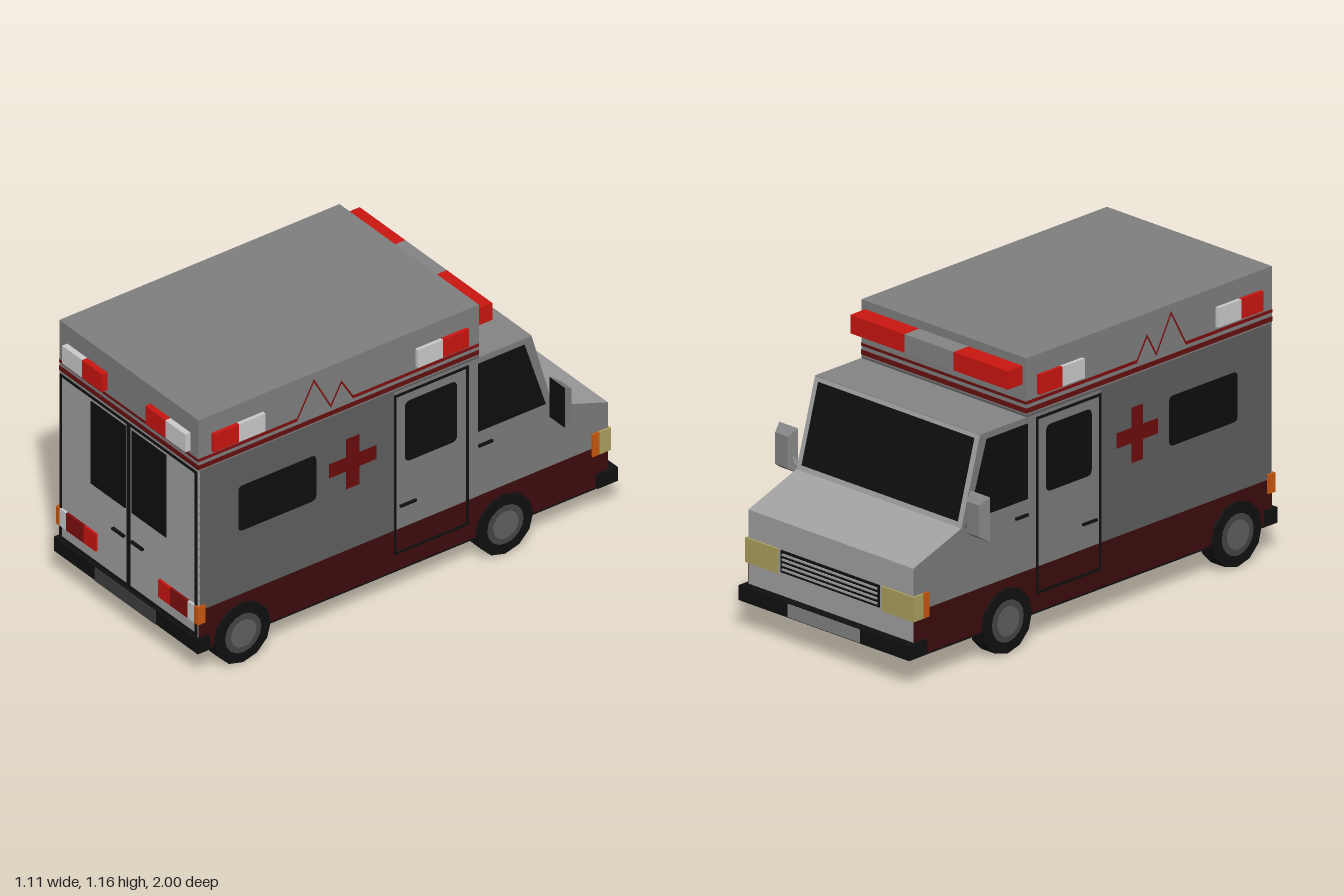
import * as THREE from 'three';

const ROOF = 0x7f7f7f, FLANK = 0x5f5f5f, CABSIDE = 0x7c7c7c, PANEL = 0xa1a1a1, TRIM = 0x848484, STEEL = 0x3f3f3f;
const BLACK = 0x101010, GLASS = 0x0e0e0e, WHITE = 0xcccccc, RED = 0xcb1510, DARKRED = 0x800e0e, STRIPE = 0x66100f;
const SKIRT = 0x3d0c0d, CROSS = 0x6c0c0c, ORANGE = 0xca5810, YELLOW = 0xaca05f;
const W = 0.435; // half width of the body

const mats = {};
const mat = (c) => (mats[c] ??= new THREE.MeshStandardMaterial({ color: c, flatShading: true }));

export function createModel() {
  const root = new THREE.Group();
  root.name = 'van';

  // One color, or two for the ends and walls of an extrusion
  const add = (name, geo, ...colors) => {
    const m = new THREE.Mesh(geo, colors.length > 1 ? colors.map(mat) : mat(colors[0]));
    m.name = name;
    root.add(m);
    return m;
  };
  // Box given by its limits
  const box = (name, color, x0, x1, y0, y1, z0, z1) => {
    const g = new THREE.BoxGeometry(x1 - x0, y1 - y0, z1 - z0);
    return add(name, g.translate((x0 + x1) / 2, (y0 + y1) / 2, (z0 + z1) / 2), color);
  };
  // Box repeated on the other side
  const pair = (name, color, x0, x1, ...r) => {
    box(name, color, x0, x1, ...r);
    box(name, color, -x1, -x0, ...r);
  };
  const extrude = (shape, depth) =>
    new THREE.ExtrudeGeometry(shape, { depth, bevelEnabled: false, curveSegments: 4 });
  // Shape from [z, y] points; its horizontal axis is -z
  const poly = (pts) => new THREE.Shape(pts.map(([z, y]) => new THREE.Vector2(-z, y)));
  // Thin plate on both flanks, standing out by t
  const flank = (name, color, shape, t) => {
    for (const s of [1, -1]) {
      const g = extrude(shape, t + 0.002).rotateY(Math.PI / 2);
      add(name, g.translate(s > 0 ? W - 0.002 : -W - t, 0, 0), color);
    }
  };
  const rect = (a, b, y0, y1, S = THREE.Shape) => {
    const s = new S();
    s.moveTo(a, y0).lineTo(b, y0).lineTo(b, y1).lineTo(a, y1).closePath();
    return s;
  };
  const roundRect = (a, b, y0, y1, r) => {
    const s = new THREE.Shape();
    s.moveTo(a + r, y0).lineTo(b - r, y0).quadraticCurveTo(b, y0, b, y0 + r);
    s.lineTo(b, y1 - r).quadraticCurveTo(b, y1, b - r, y1).lineTo(a + r, y1);
    s.quadraticCurveTo(a, y1, a, y1 - r).lineTo(a, y0 + r).quadraticCurveTo(a, y0, a + r, y0);
    return s;
  };
  const frame = (a, b, y0, y1, w) => {
    const s = rect(a, b, y0, y1);
    s.holes.push(rect(a + w, b - w, y0 + w, y1 - w, THREE.Path));
    return s;
  };

  // Body shells: lower box, roof box, rear door panel, cab
  box('rearBody', FLANK, -W, W, 0.12, 0.93, -0.35, 0.97);
  box('roofBox', ROOF, -W, W, 0.93, 1.16, -0.35, 0.975);
  box('rearDoors', PANEL, -W, W, 0.12, 0.93, 0.968, 0.975);
  const cab = poly([[-0.35, 0.12], [-0.96, 0.12], [-0.96, 0.48], [-0.7, 0.57], [-0.6, 0.92], [-0.35, 0.92]]);
  add('cab', extrude(cab, 2 * W).rotateY(Math.PI / 2).translate(-W, 0, 0), CABSIDE, PANEL);
  box('cabRoof', TRIM, -W, W, 0.915, 0.922, -0.6, -0.35);
  box('underside', BLACK, -W, W, 0.112, 0.121, -0.96, 0.975);
  flank('sideDoor', CABSIDE, rect(-0.05, 0.35, 0.3, 0.92), 0.001);
  flank('skirt', SKIRT, rect(-0.975, 0.96, 0.12, 0.3), 0.001);

  // Stripes all around the rear body, with a zigzag on the flanks
  for (const [y0, y1] of [[0.937, 0.957], [0.973, 0.984]]) {
    box('rearStripe', STRIPE, -W, W, y0, y1, 0.97, 0.977);
    box('frontStripe', STRIPE, -W, W, y0, y1, -0.352, -0.345);
  }
  flank('sideStripe', STRIPE, rect(-0.975, 0.35, 0.937, 0.957), 0.0015);
  const pulse = [[0.975, 0.973], [0.51, 0.973], [0.43, 1.118], [0.35, 0.973], [0.3, 1.062], [0.245, 0.973], [-0.35, 0.973]];
  const upper = pulse.map(([z, y]) => [z, y + 0.013]).reverse();
  flank('zigzagStripe', DARKRED, poly([...pulse, ...upper]), 0.0015);

  // Cross on the flanks
  const a = 0.112, b = 0.031;
  const cross = [[a, -b], [b, -b], [b, -a], [-b, -a], [-b, -b], [-a, -b], [-a, b], [-b, b], [-b, a], [b, a], [b, b], [a, b]];
  flank('cross', CROSS, poly(cross.map(([z, y]) => [z + 0.247, y + 0.688])), 0.002);

  // Side windows, doors and handles
  flank('sideWindow', GLASS, roundRect(-0.787, -0.42, 0.585, 0.787, 0.02), 0.002);
  flank('sideDoorSeam', BLACK, frame(-0.052, 0.3, 0.19, 0.908, 0.011), 0.004);
  flank('sideDoorWindow', GLASS, roundRect(0, 0.245, 0.59, 0.86, 0.025), 0.003);
  flank('cabWindow', GLASS, poly([[-0.345, 0.59], [-0.665, 0.59], [-0.565, 0.895], [-0.345, 0.895]]), 0.003);
  flank('sideDoorHandle', BLACK, rect(-0.025, 0.05, 0.397, 0.407), 0.01);
  flank('cabDoorHandle', BLACK, rect(0.345, 0.412, 0.522, 0.532), 0.01);

  // Rear doors
  add('rearDoorSeam', extrude(frame(-0.427, 0.427, 0.185, 0.925, 0.01), 0.007).translate(0, 0, 0.973), BLACK);
  box('rearDoorGap', BLACK, -0.009, 0.009, 0.19, 0.92, 0.97, 0.98);
  pair('rearDoorWindow', GLASS, 0.02, 0.235, 0.53, 0.9, 0.97, 0.979);
  pair('rearDoorHandle', BLACK, 0.022, 0.095, 0.398, 0.407, 0.97, 0.987);

  // Rear lamps
  pair('rearLampInner', RED, 0.195, 0.27, 0.245, 0.323, 0.97, 0.985);
  pair('rearLampMiddle', DARKRED, 0.27, 0.38, 0.245, 0.323, 0.97, 0.985);
  pair('rearLampOuter', WHITE, 0.38, 0.42, 0.245, 0.323, 0.97, 0.985);
  pair('rearCornerLamp', ORANGE, 0.42, 0.444, 0.245, 0.323, 0.948, 0.985);

  // Upper warning lamps on the back and flanks
  pair('rearWarningRed', RED, 0.135, 0.26, 1, 1.08, 0.97, 1);
  pair('rearWarningWhite', WHITE, 0.26, 0.385, 1, 1.08, 0.97, 1);
  pair('sideWarningRed', RED, 0.43, 0.45, 1, 1.08, 0.795, 0.915);
  pair('sideWarningWhite', WHITE, 0.43, 0.45, 1, 1.08, 0.67, 0.795);
  pair('sideWarningWhite', WHITE, 0.43, 0.45, 1, 1.08, -0.17, -0.05);
  pair('sideWarningRed', RED, 0.43, 0.45, 1, 1.08, -0.292, -0.17);

  // Light bar above the cab
  box('lightBarCentre', TRIM, -0.13, 0.13, 1.05, 1.125, -0.43, -0.345);
  pair('lightBarEnd', RED, 0.13, 0.415, 1.05, 1.125, -0.43, -0.345);

  // Windscreen lying on the sloped front
  const screen = add('windscreen', new THREE.BoxGeometry(0.82, 0.325, 0.008), GLASS);
  screen.position.set(0, 0.747, -0.65);
  screen.rotation.x = Math.atan2(0.1, 0.35);

  // Grille, headlamps and front corner lamps
  box('grille', BLACK, -0.26, 0.26, 0.275, 0.365, -0.964, -0.95);
  for (let i = 0; i < 4; i++) {
    const y = 0.286 + i * 0.02;
    box('grilleSlat', PANEL, -0.25, 0.25, y, y + 0.008, -0.969, -0.955);
  }
  pair('headlamp', YELLOW, 0.275, 0.444, 0.267, 0.367, -0.968, -0.915);
  pair('frontCornerLamp', ORANGE, 0.42, 0.444, 0.267, 0.367, -0.915, -0.882);

  // Bumpers with a lighter middle
  box('rearBumper', BLACK, -0.45, 0.45, 0.12, 0.183, 0.93, 0.99);
  box('rearBumperStep', STEEL, -0.19, 0.19, 0.12, 0.18, 0.98, 0.993);
  box('frontBumper', BLACK, -0.45, 0.45, 0.12, 0.18, -0.998, -0.9);
  box('frontBumperPlate', TRIM, -0.19, 0.19, 0.123, 0.177, -1, -0.98);

  // Mirrors: tapered housing, dark glass facing back, two thin arms
  for (const s of [1, -1]) {
    const x = s * 0.505;
    const g = new THREE.BoxGeometry(0.1, 0.182, 0.04);
    const p = g.attributes.position;
    for (let i = 0; i < p.count; i++)
      if (p.getZ(i) < 0) p.setXY(i, p.getX(i) * 0.65, p.getY(i) * 0.7);
    add('mirrorHousing', g.translate(x, 0.63, -0.69), TRIM);
    box('mirrorGlass', GLASS, x - 0.047, x + 0.047, 0.542, 0.718, -0.672, -0.667);
    for (const [y0, y1] of [[0.575, 0.615], [0.565, 0.6]]) {
      const path = new THREE.LineCurve3(new THREE.Vector3(s * 0.43, y0, -0.68), new THREE.Vector3(s * 0.475, y1, -0.69));
      add('mirrorArm', new THREE.TubeGeometry(path, 1, 0.004, 5), TRIM);
    }
  }

  // Wheels and axles
  for (const z of [0.775, -0.465]) {
    box('axle', BLACK, -0.38, 0.38, 0.085, 0.12, z - 0.1, z + 0.1);
    for (const s of [1, -1]) {
      const disc = (name, color, r, x0, x1, sides) => {
        const g = new THREE.CylinderGeometry(r, r, x1 - x0, sides).rotateZ((-s * Math.PI) / 2);
        add(name, g.translate((s * (x0 + x1)) / 2, 0.132, z), color);
      };
      disc('tyre', BLACK, 0.132, 0.374, 0.448, 12);
      disc('rim', 0x464646, 0.085, 0.43, 0.451, 16);
      disc('hub', 0x5f5f5f, 0.06, 0.43, 0.453, 16);
    }
  }
  return root;
}
